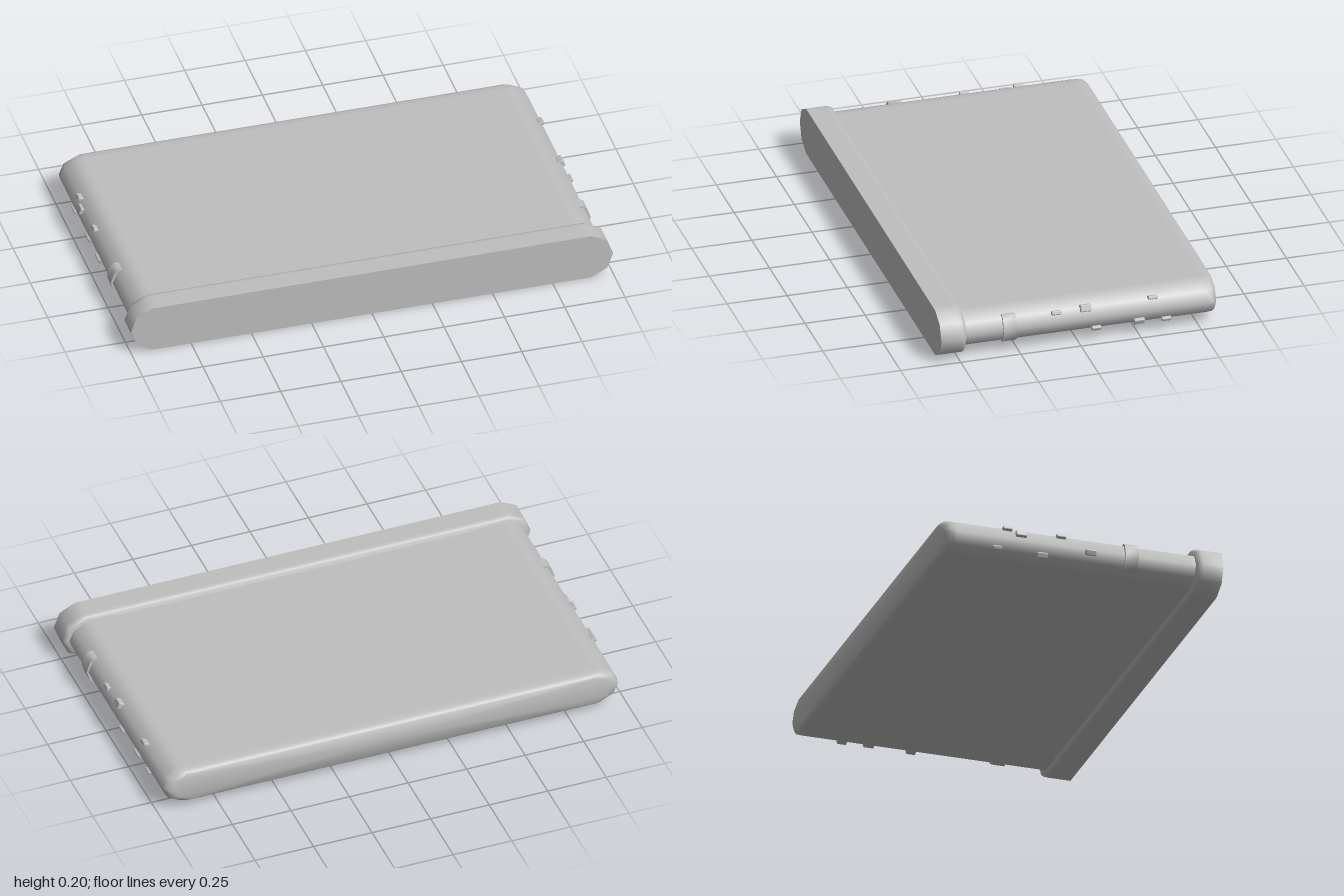
import * as THREE from 'three';
import { toCreasedNormals } from 'three/addons/utils/BufferGeometryUtils.js';
import { RoundedBoxGeometry } from 'three/addons/geometries/RoundedBoxGeometry.js';

const MID = 0.1; // height of the slab's centre line

// Faceted end of the slab, top to bottom: x and height from the centre line
const BODY_EDGE = [[0.87, 0.074], [0.9, 0.074], [0.955, 0.047], [0.975, 0], [0.955, -0.047], [0.9, -0.074], [0.87, -0.074]];
const CAP_EDGE = [[0.88, 0.1], [0.91, 0.1], [0.975, 0.066], [1, 0], [0.975, -0.066], [0.91, -0.1], [0.88, -0.1]];

// Closed solid from an outline; rings are [z, x inset, y inset] from back to front
function loft(edge, rings) {
  const right = [...edge].reverse();
  const outline = [...right, ...edge.map(([x, y]) => [-x, y])];
  const h = edge[0][1], n = outline.length;
  const pos = [], index = [];
  for (const [z, ix, iy] of rings) {
    for (const [x, y] of outline) pos.push(x - Math.sign(x) * ix, MID + y * (h - iy) / h, z);
  }
  for (let r = 0; r < rings.length - 1; r++) {
    for (let j = 0; j < n; j++) {
      const k = (j + 1) % n, a = r * n, b = a + n;
      index.push(a + j, a + k, b + k, a + j, b + k, b + j);
    }
  }
  // end faces
  const last = rings.length - 1, c = pos.length / 3;
  pos.push(0, MID, rings[0][0], 0, MID, rings[last][0]);
  for (let j = 0; j < n; j++) {
    const k = (j + 1) % n;
    index.push(c, k, j, c + 1, last * n + j, last * n + k);
  }
  const geo = new THREE.BufferGeometry();
  geo.setAttribute('position', new THREE.Float32BufferAttribute(pos, 3));
  geo.setIndex(index);
  return toCreasedNormals(geo, 0.88);
}

export function createModel() {
  const model = new THREE.Group();
  const grey = new THREE.MeshStandardMaterial({ color: 0xbfbfbf });
  grey.name = 'plain grey';

  const add = (name, geo) => {
    const mesh = new THREE.Mesh(geo, grey);
    mesh.name = name;
    model.add(mesh);
    return mesh;
  };

  // Main slab with a softened back rim
  add('body', loft(BODY_EDGE, [
    [-0.58, 0.045, 0.012], [-0.575, 0.022, 0.006], [-0.56, 0.004, 0], [-0.53, 0, 0], [0.45, 0, 0], [0.49, 0, 0],
  ]));

  // Wider cap along the front edge
  add('frontCap', loft(CAP_EDGE, [
    [0.472, 0.014, 0.009], [0.477, 0.006, 0.004], [0.488, 0, 0], [0.5, 0, 0], [0.58, 0, 0],
  ]));

  // Raised band wrapped round each side
  const band = new THREE.Shape([
    [0.92, -0.055], [0.95, -0.058], [0.968, -0.045], [0.983, 0], [0.968, 0.046], [0.95, 0.06], [0.92, 0.055],
  ].map(([x, y]) => new THREE.Vector2(x, y)));
  for (const [side, z] of [[1, 0.26], [-1, 0.175]]) {
    const geo = new THREE.ExtrudeGeometry(band, { depth: 0.055, bevelEnabled: false });
    const mesh = add(side > 0 ? 'leftBand' : 'rightBand', toCreasedNormals(geo, 0.88));
    mesh.position.set(0, MID, side > 0 ? z : z + 0.055);
    if (side < 0) mesh.rotation.y = Math.PI;
  }

  // Small studs on the rounded sides: side, z, y, length, height
  const studs = [
    [1, 0.092, 0.142, 0.04, 0.018], [1, -0.03, 0.145, 0.045, 0.03], [1, -0.31, 0.151, 0.04, 0.016],
    [1, -0.075, 0.053, 0.04, 0.018], [1, -0.252, 0.06, 0.045, 0.026], [1, -0.365, 0.053, 0.04, 0.016],
    [-1, -0.315, 0.148, 0.04, 0.018], [-1, -0.26, 0.128, 0.045, 0.028], [-1, -0.09, 0.146, 0.04, 0.018],
    [-1, 0.03, 0.09, 0.045, 0.024], [-1, -0.36, 0.06, 0.04, 0.018], [-1, -0.17, 0.055, 0.045, 0.024],
  ];
  studs.forEach(([side, z, y, length, height], i) => {
    const d = y - MID;
    const x = 0.975 - 0.02 * Math.abs(d) / 0.047;
    const mesh = add('sideStud' + (i + 1), new RoundedBoxGeometry(0.026, height, length, 2, 0.005));
    mesh.position.set(side * x, y, z);
    mesh.rotation.z = side * Math.sign(d) * 0.4;
  });

  return model;
}
